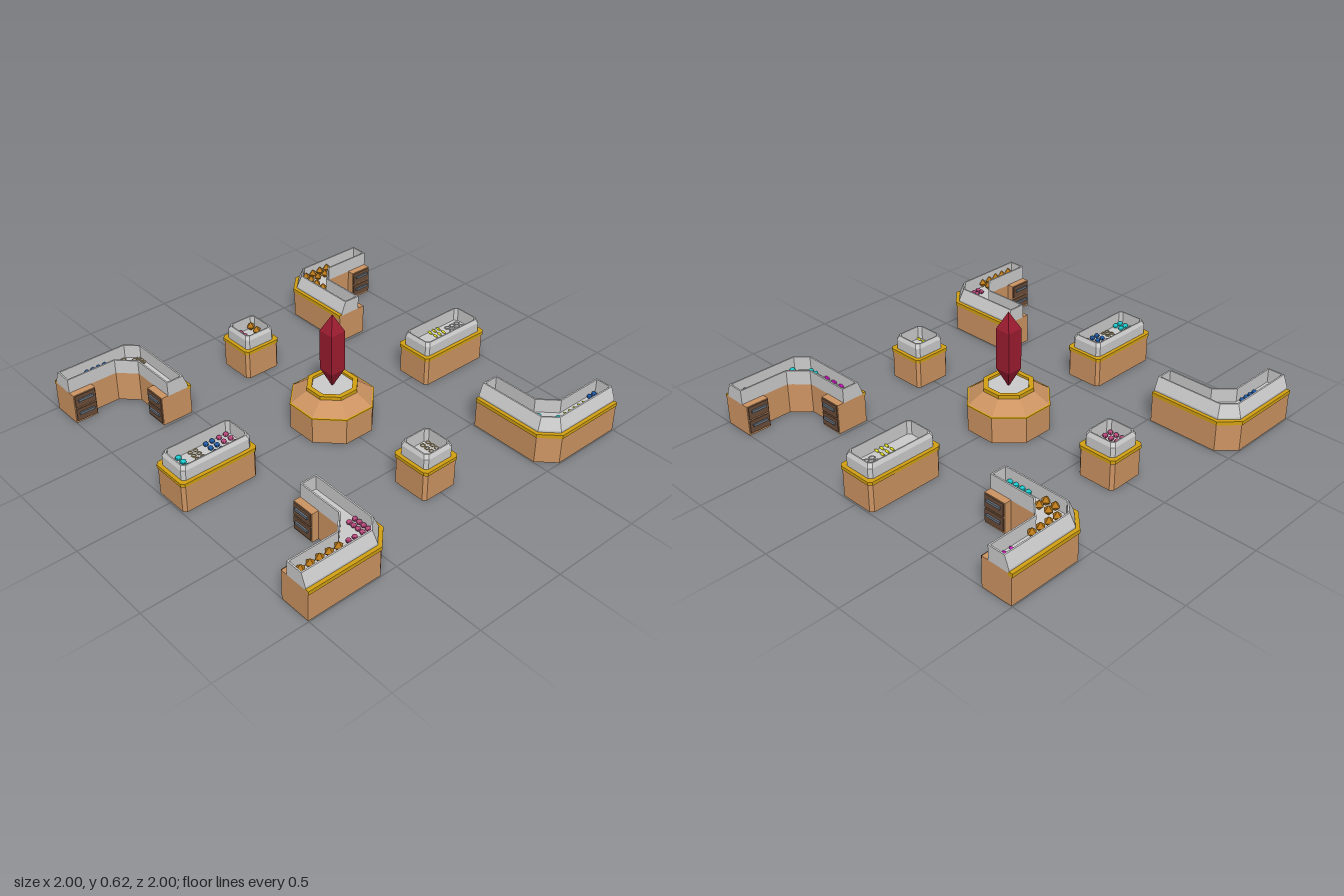
import * as THREE from 'three';

const mat = (color) => new THREE.MeshStandardMaterial({ color, flatShading: true, side: THREE.DoubleSide });
const wood = mat(0xcd9462), gold = mat(0xd2a012), pane = mat(0xcccccc), dark = mat(0x6a4c38);
const steel = mat(0x66707c), crimson = mat(0x9c1c30);

function add(parent, name, geo, material, x = 0, y = 0, z = 0) {
  const m = new THREE.Mesh(geo, material);
  m.name = name;
  m.position.set(x, y, z);
  parent.add(m);
  return m;
}

// Skin between outlines stacked at heights: rings = [[outline, y], ...]
function loft(rings, capTop = false, capBottom = false) {
  const pos = [], idx = [], n = rings[0][0].length;
  for (const [pts, y] of rings) for (const [x, z] of pts) pos.push(x, y, z);
  for (let r = 0; r < rings.length - 1; r++) {
    for (let i = 0; i < n; i++) {
      const a = r * n + i, b = r * n + (i + 1) % n;
      idx.push(a, a + n, b, b, a + n, b + n);
    }
  }
  const cap = (r) => {
    const shape = rings[r][0].map(([x, z]) => new THREE.Vector2(x, z));
    for (const f of THREE.ShapeUtils.triangulateShape(shape, [])) idx.push(f[0] + r * n, f[2] + r * n, f[1] + r * n);
  };
  if (capTop) cap(rings.length - 1);
  if (capBottom) cap(0);
  const g = new THREE.BufferGeometry();
  g.setAttribute('position', new THREE.Float32BufferAttribute(pos, 3));
  g.setIndex(idx);
  const flat = g.toNonIndexed();
  flat.computeVertexNormals();
  return flat;
}

// Rectangle with cut corners
const rect = (w, d, c) => [
  [w, d - c], [w - c, d], [c - w, d], [-w, d - c],
  [-w, c - d], [c - w, -d], [w - c, -d], [w, c - d]];
const octagon = (r) => rect(r, r, r * 0.586);

// L-shaped outline, inset on its outer side, inner side and ends
const outerEdge = (o, e = 0) => [
  [1 - o, 1 - e], [1 - o, 0.59 + 0.414 * o], [0.91 - 0.414 * o, 0.5 + o], [0.515 + e, 0.5 + o]];
const ell = (o, i = 0, e = 0) => [...outerEdge(o, e),
  [0.515 + e, 0.64 - i], [0.775 + 0.414 * i, 0.64 - i],
  [0.86 + i, 0.725 - 0.414 * i], [0.86 + i, 1 - e]];

// Free-standing display case, open underneath
function displayCase(name, x, z, halfDepth) {
  const g = new THREE.Group();
  g.name = name;
  g.position.set(x, 0, z);
  const o = (inset) => rect(0.11 - inset, halfDepth - inset, 0.016);
  add(g, 'caseBody', loft([[o(0.004), 0], [o(0.004), 0.155]]), wood);
  add(g, 'caseTrim', loft([[o(0.004), 0.15], [o(0), 0.15], [o(0), 0.168], [o(0.025), 0.168]]), gold);
  add(g, 'caseWalls', loft([[o(0.02), 0.165], [o(0.02), 0.222], [o(0.03), 0.243], [o(0.036), 0.243], [o(0.036), 0.168]]), pane);
  add(g, 'caseTray', loft([[o(0.02), 0.165], [o(0.02), 0.169]], true), pane);
  return g;
}

// Corner counter with two drawer units on its inner side
function cornerCounter(name, sx, sz) {
  const g = new THREE.Group();
  g.name = name;
  g.scale.set(sx, 1, sz);
  add(g, 'counterBody', loft([[ell(0.005), 0], [ell(0.005), 0.165]]), wood);
  const strip = [...outerEdge(0), ...outerEdge(0.026).reverse()];
  add(g, 'counterTrim', loft([[strip, 0.15], [strip, 0.17]], true, true), gold);
  add(g, 'counterWalls', loft([[ell(0.02), 0.163], [ell(0.02), 0.18], [ell(0.045), 0.243],
    [ell(0.053, 0.008, 0.008), 0.243], [ell(0.053, 0.008, 0.008), 0.168]]), pane);
  add(g, 'counterTray', loft([[ell(0.02), 0.163], [ell(0.02), 0.168]], true), pane);
  for (const side of [false, true]) {
    // u runs along the counter, v out from its inner face
    const box = (label, material, u, y, v, w, h, d) => side
      ? add(g, label, new THREE.BoxGeometry(d, h, w), material, 1.5 - v, y, 1.515 - u)
      : add(g, label, new THREE.BoxGeometry(w, h, d), material, u, y, v);
    box('drawerCabinet', wood, 0.578, 0.0825, 0.658, 0.126, 0.165, 0.04);
    for (const y of [0.047, 0.126]) {
      box('drawerFront', dark, 0.578, y, 0.68, 0.116, 0.07, 0.008);
      box('drawerHandle', steel, 0.578, y + 0.008, 0.688, 0.085, 0.014, 0.01);
    }
  }
  return g;
}

// Jewellery kinds: [name, geometry, colour, resting height]
const bead = (x, y, z) => new THREE.SphereGeometry(1, 8, 6).scale(x, y, z);
const kinds = {
  ring: ['silverRing', new THREE.TorusGeometry(0.014, 0.003, 5, 10).rotateX(Math.PI / 2), mat(0xcccccc), 0.004],
  bar: ['yellowGem', bead(0.017, 0.007, 0.006), mat(0xf0ee20), 0.007],
  rod: ['magentaGem', bead(0.021, 0.008, 0.008), mat(0xd818c8), 0.008],
  blue: ['blueGem', bead(0.014, 0.012, 0.014), mat(0x1f5aa6), 0.012],
  pink: ['pinkGem', bead(0.014, 0.012, 0.014), mat(0xb8487c), 0.012],
  cyan: ['cyanGem', bead(0.015, 0.012, 0.017), mat(0x18c8cc), 0.012],
  gold: ['amberGem', new THREE.OctahedronGeometry(0.026), mat(0xb87818), 0.026],
  tiny: ['fineRing', new THREE.TorusGeometry(0.011, 0.0025, 4, 6).rotateX(Math.PI / 2), mat(0xb89a50), 0.003],
};

// Grid of jewels from (x0, z0) to (x1, z1)
function jewels(parent, kind, nx, x0, x1, nz, z0, z1) {
  const [name, geo, material, lift] = kinds[kind];
  for (let i = 0; i < nx; i++) for (let k = 0; k < nz; k++) {
    add(parent, name, geo, material, x0 + (x1 - x0) * i / Math.max(nx - 1, 1), 0.169 + lift,
      z0 + (z1 - z0) * k / Math.max(nz - 1, 1));
  }
}

export function createModel() {
  const root = new THREE.Group();
  root.name = 'jewelryShop';

  for (const sx of [-1, 1]) {
    for (const sz of [-1, 1]) {
      root.add(cornerCounter(`${sz > 0 ? 'front' : 'back'}${sx > 0 ? 'Left' : 'Right'}Counter`, sx, sz));
    }
    root.add(displayCase(sx > 0 ? 'leftSmallCase' : 'rightSmallCase', sx * 0.667, 0, 0.11));
    root.add(displayCase(sx > 0 ? 'frontLongCase' : 'backLongCase', 0, sx * 0.778, 0.218));
  }

  // Central pedestal
  const pedestal = new THREE.Group();
  pedestal.name = 'pedestal';
  root.add(pedestal);
  const o = octagon;
  add(pedestal, 'pedestalBody', loft([[o(0.205), 0], [o(0.205), 0.143], [o(0.122), 0.207]], true, true), wood);
  add(pedestal, 'pedestalEdge', loft([[o(0.204), 0.14], [o(0.207), 0.14], [o(0.207), 0.146], [o(0.2), 0.148]]), gold);
  add(pedestal, 'pedestalRing', loft([[o(0.125), 0.2], [o(0.125), 0.224], [o(0.1), 0.224], [o(0.1), 0.205]]), gold);
  add(pedestal, 'pedestalPlate', loft([[o(0.1), 0.205], [o(0.1), 0.211]], true), pane);

  // Standing crystal
  const sq = (s) => [[s, s], [-s, s], [-s, -s], [s, -s]];
  add(pedestal, 'crystal', loft([[sq(0.001), 0.205], [sq(0.044), 0.308], [sq(0.044), 0.53], [sq(0.0005), 0.622]], true, true), crimson);

  // Jewellery in the trays
  const stock = new THREE.Group();
  stock.name = 'jewellery';
  root.add(stock);
  [
    ['ring', 3, -0.036, 0.036, 3, -0.93, -0.86], ['bar', 4, -0.058, 0.06, 3, -0.81, -0.75],
    ['pink', 4, -0.055, 0.058, 2, 0.625, 0.665], ['blue', 4, -0.055, 0.058, 2, 0.705, 0.742],
    ['tiny', 5, -0.06, 0.06, 2, 0.8, 0.83], ['cyan', 4, -0.055, 0.058, 2, 0.9, 0.937],
    ['gold', 3, -0.72, -0.62, 1, -0.045, 0], ['pink', 4, -0.722, -0.615, 2, 0.022, 0.06],
    ['tiny', 4, 0.615, 0.7, 2, -0.065, -0.03], ['bar', 4, 0.615, 0.725, 1, 0.05, 0],
    ['rod', 2, -0.94, -0.893, 3, -0.97, -0.89], ['gold', 2, -0.935, -0.89, 4, -0.77, -0.615],
    ['gold', 2, -0.835, -0.78, 2, -0.61, -0.567], ['cyan', 4, -0.67, -0.557, 2, -0.6, -0.56],
    ['blue', 3, 0.885, 0.945, 2, -0.96, -0.925], ['bar', 2, 0.9, 0.937, 5, -0.87, -0.73],
    ['cyan', 2, 0.898, 0.935, 2, -0.67, -0.635], ['cyan', 2, 0.825, 0.86, 2, -0.61, -0.575],
    ['rod', 4, 0.58, 0.75, 3, -0.605, -0.555], ['tiny', 3, -0.89, -0.84, 2, 0.565, 0.59],
    ['tiny', 2, -0.93, -0.9, 2, 0.63, 0.665], ['blue', 3, -0.943, -0.89, 4, 0.74, 0.845],
    ['pink', 4, 0.8, 0.885, 2, 0.567, 0.6], ['pink', 2, 0.885, 0.912, 2, 0.645, 0.68],
    ['gold', 2, 0.895, 0.94, 5, 0.745, 0.955],
  ].forEach((row) => jewels(stock, ...row));

  return root;
}
